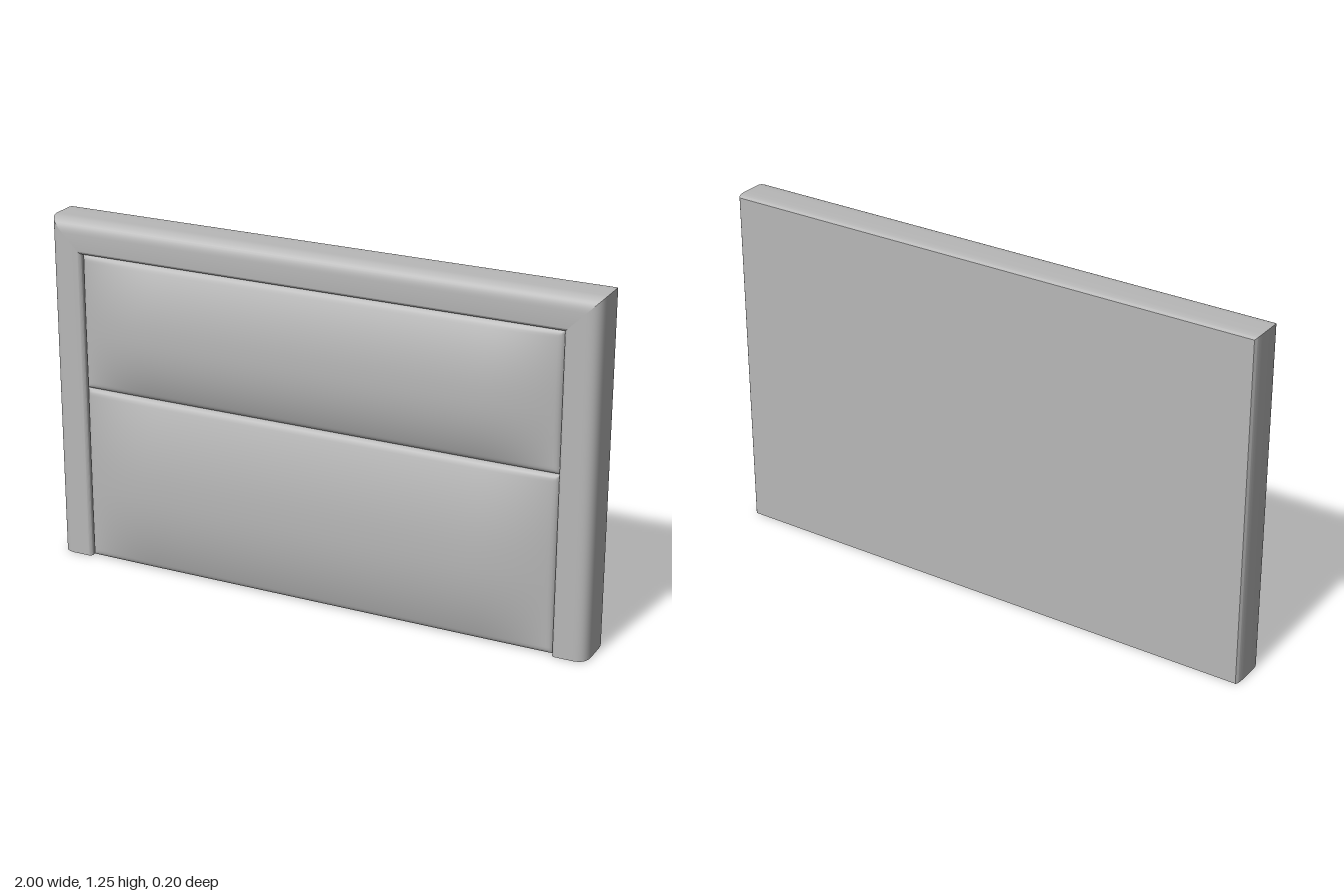
import * as THREE from 'three';
import { toCreasedNormals } from 'three/addons/utils/BufferGeometryUtils.js';

const HALF_W = 1, HEIGHT = 1.25, BORDER = 0.12, BACK = -0.1, FRONT = 0.06;

const fabric = new THREE.MeshStandardMaterial({ color: 0xb8b8b8 });
fabric.name = 'grey fabric';

// Padded border section: u runs inward from the outer edge, side is the outer direction
function borderShape(side) {
  const p = (u, z) => [-side * u, -z];
  const s = new THREE.Shape();
  s.moveTo(...p(BORDER, BACK));
  s.lineTo(...p(0.008, BACK));
  s.quadraticCurveTo(...p(0, -0.095), ...p(0, -0.06));
  s.lineTo(...p(0, 0.005));
  s.quadraticCurveTo(...p(0, FRONT), ...p(0.05, FRONT));
  s.lineTo(...p(BORDER - 0.014, FRONT));
  s.quadraticCurveTo(...p(BORDER, FRONT), ...p(BORDER, FRONT - 0.014));
  s.closePath();
  return s;
}

// Upright length of border from y0 to y1, with 45 degree mitres where asked
function borderGeometry(side, y0, y1, mitreBottom) {
  const g = new THREE.ExtrudeGeometry(borderShape(side), {
    depth: y1 - y0, bevelEnabled: false, curveSegments: 10,
  });
  g.rotateX(-Math.PI / 2);
  g.translate(0, y0, 0);
  const pos = g.attributes.position;
  const mid = (y0 + y1) / 2;
  for (let i = 0; i < pos.count; i++) {
    const u = Math.abs(pos.getX(i)), y = pos.getY(i);
    if (y > mid) pos.setY(i, y - u);
    else if (mitreBottom) pos.setY(i, y + u);
  }
  return toCreasedNormals(g, 0.6);
}

// Box whose front face swells into a pillow with a tight rolled edge
function cushionGeometry(w, h) {
  const base = 0.0, edge = 0.05, bulge = 0.05, lip = 0.018;
  const g = new THREE.BoxGeometry(w, h, 1, 56, 40, 1);
  const pos = g.attributes.position;
  const spread = (v, half) => half * Math.sin((Math.PI / 2) * (v / half));
  for (let i = 0; i < pos.count; i++) {
    const x = spread(pos.getX(i), w / 2), y = spread(pos.getY(i), h / 2);
    let z = base;
    if (pos.getZ(i) > 0) {
      const dx = w / 2 - Math.abs(x), dy = h / 2 - Math.abs(y);
      const t = Math.min(dx / 0.3, 1);
      const across = 1 - (1 - t) ** 2;
      const up = 1 - Math.abs(y / (h / 2)) ** 2.2;
      const r = Math.max(0, 1 - Math.min(dx, dy) / lip);
      z = edge + bulge * across * up - lip * (1 - Math.sqrt(Math.max(0, 1 - r * r)));
    }
    pos.setXYZ(i, x, y, z);
  }
  g.computeVertexNormals();
  return g;
}

export function createModel() {
  const model = new THREE.Group();
  model.name = 'headboard';
  const add = (name, geometry, x, y, z) => {
    const mesh = new THREE.Mesh(geometry, fabric);
    mesh.name = name;
    mesh.position.set(x, y, z);
    model.add(mesh);
  };

  // Border: two posts and a mitred top rail
  for (const side of [1, -1]) {
    add(side > 0 ? 'leftPost' : 'rightPost',
      borderGeometry(side, 0, HEIGHT, false), side * HALF_W, 0, 0);
  }
  add('topRail', borderGeometry(1, -HALF_W, HALF_W, true).rotateZ(Math.PI / 2), 0, HEIGHT, 0);

  // Backing panel flush with the border
  const innerW = 2 * (HALF_W - BORDER), innerH = HEIGHT - BORDER;
  add('backPanel', new THREE.BoxGeometry(innerW, innerH, 0.12), 0, innerH / 2, BACK + 0.06);

  // Two padded cushions
  const split = 0.64;
  add('lowerCushion', cushionGeometry(innerW, split), 0, split / 2, 0);
  add('upperCushion', cushionGeometry(innerW, innerH - split), 0, (split + innerH) / 2, 0);

  return model;
}
